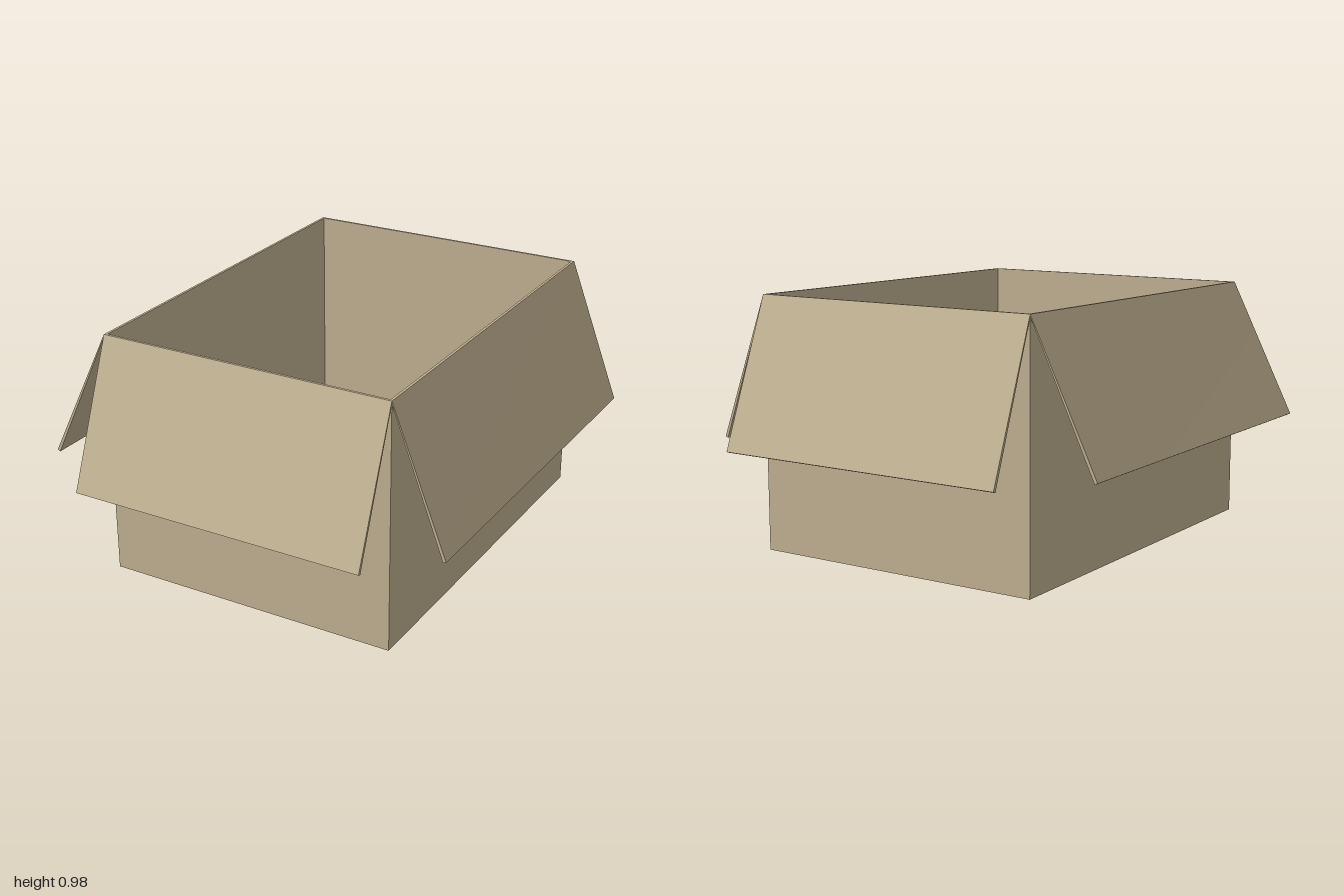
import * as THREE from 'three';

const X0 = -0.57, X1 = 0.615, Z = 0.78; // box footprint
const FRONT_Y = 0.968, BACK_Y = 0.983;  // rim rises slightly to the back
const T = 0.01;                         // card thickness

export function createModel() {
  const model = new THREE.Group();
  model.name = 'openCardboardBox';
  const cardboard = new THREE.MeshStandardMaterial({ color: 0xc4b494 });
  cardboard.name = 'cardboard';

  // A sheet of card: outer corners run bottom left, bottom right, top right,
  // top left as seen from outside; thickness goes inwards and may taper.
  function panel(name, corners, bottomT = T, topT = T) {
    const [a, b, c, d] = corners.map((p) => new THREE.Vector3(...p));
    const normal = b.clone().sub(a).cross(d.clone().sub(a)).normalize();
    const geometry = new THREE.BoxGeometry(1, 1, 1);
    const pos = geometry.attributes.position;
    for (let i = 0; i < pos.count; i++) {
      const u = pos.getX(i) + 0.5, v = pos.getY(i) + 0.5, w = 0.5 - pos.getZ(i);
      const low = a.clone().lerp(b, u), high = d.clone().lerp(c, u);
      const p = low.lerp(high, v);
      p.addScaledVector(normal, -w * THREE.MathUtils.lerp(bottomT, topT, v));
      pos.setXYZ(i, p.x, p.y, p.z);
    }
    geometry.computeVertexNormals();
    const mesh = new THREE.Mesh(geometry, cardboard);
    mesh.name = name;
    model.add(mesh);
  }

  // Floor
  panel('floor', [[X0 + T, 0, -Z + T], [X1 - T, 0, -Z + T], [X1 - T, 0, Z - T], [X0 + T, 0, Z - T]]);

  // Walls: the front and back sit between the two sides
  const l = X1 - T, r = X0 + T;
  panel('frontWall', [[r, 0, Z], [l, 0, Z], [l, FRONT_Y, Z], [r, FRONT_Y, Z]]);
  panel('backWall', [[l, 0, -Z], [r, 0, -Z], [r, BACK_Y, -Z], [l, BACK_Y, -Z]]);
  panel('leftWall', [[X1, 0, Z], [X1, 0, -Z], [X1, BACK_Y, -Z], [X1, FRONT_Y, Z]]);
  panel('rightWall', [[X0, 0, -Z], [X0, 0, Z], [X0, FRONT_Y, Z], [X0, BACK_Y, -Z]]);

  // Flaps hang outwards from the rim, thinning towards the fold
  const flap = (name, corners) => panel(name, corners, 0.013, 0.004);
  flap('frontFlap', [[X0, 0.42, 1], [X1, 0.42, 1], [X1, FRONT_Y, Z], [X0, FRONT_Y, Z]]);
  flap('backFlap', [[X1, 0.42, -1], [X0, 0.42, -1], [X0, BACK_Y, -Z], [X1, BACK_Y, -Z]]);
  flap('leftFlap', [[0.83, 0.42, Z], [0.83, 0.42, -Z], [X1, BACK_Y, -Z], [X1, FRONT_Y, Z]]);
  flap('rightFlap', [[-0.835, 0.44, -Z], [-0.835, 0.44, Z], [X0, FRONT_Y, Z], [X0, BACK_Y, -Z]]);

  return model;
}
